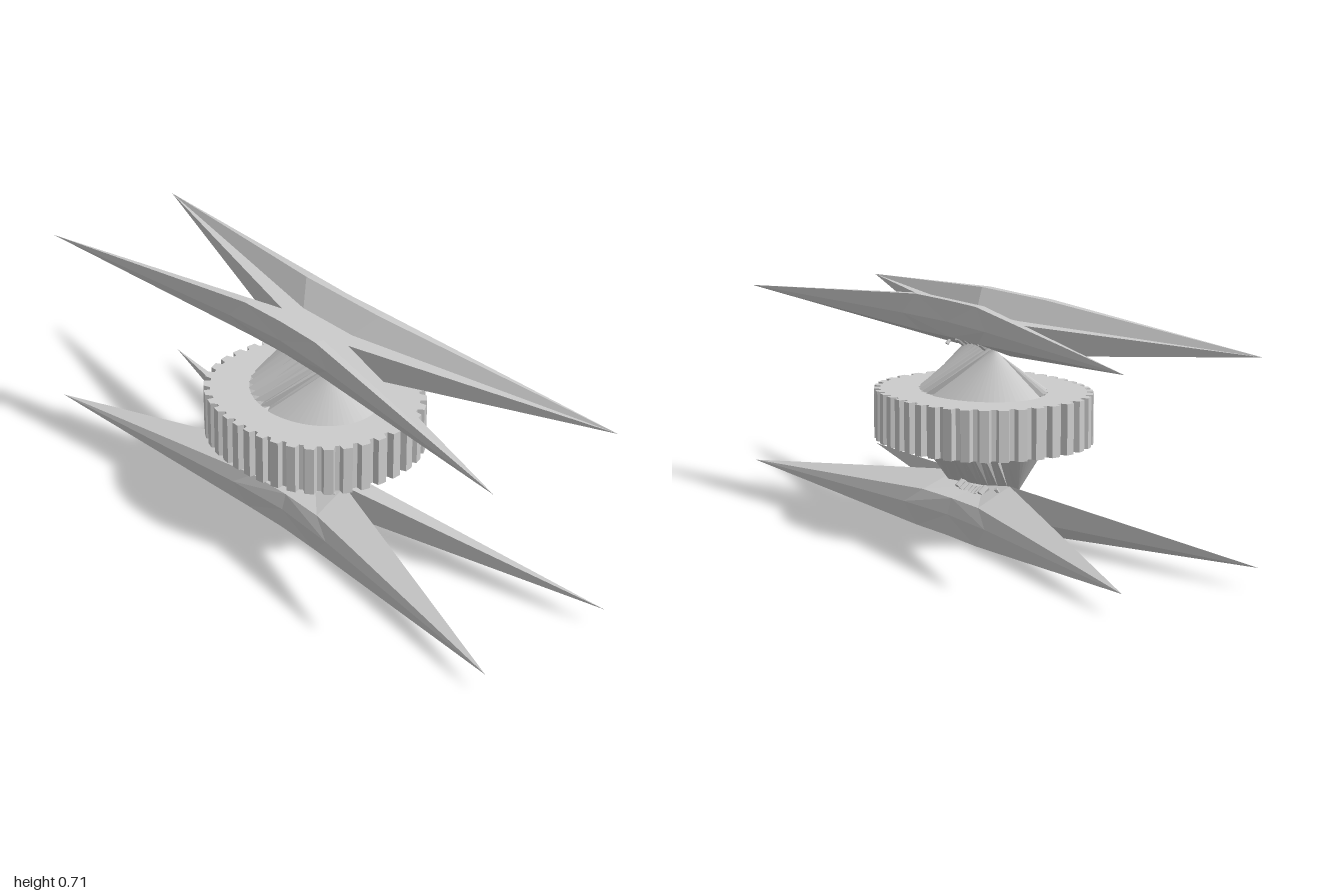
import * as THREE from 'three';

const MID = 0.356; // height of the middle of the model
const mat = new THREE.MeshStandardMaterial({ color: 0xcccccc, flatShading: true, side: THREE.DoubleSide });

function mesh(geo, name) {
  const m = new THREE.Mesh(geo, mat);
  m.name = name;
  return m;
}

function fromTriangles(pos) {
  const g = new THREE.BufferGeometry();
  g.setAttribute('position', new THREE.Float32BufferAttribute(pos, 3));
  g.computeVertexNormals();
  return g;
}

// Four long blades meeting in a cross: one quarter, mirrored in x and z
function bladeCross() {
  const P = {
    tip: [0.235, 0.648, 0.995], notch: [0, 0.648, 0.15], keel: [0, 0.552, 0.14],
    valley: [0.05, 0.648, 0.11], ridgeIn: [0.108, 0.712, 0.165], ridgeOut: [0.135, 0.712, 0.16],
    side: [0.145, 0.648, 0.22], low: [0.12, 0.6, 0.15],
    centre0: [0, 0.648, 0], valley0: [0.05, 0.648, 0], ridgeIn0: [0.108, 0.712, 0],
    ridgeOut0: [0.13, 0.712, 0], side0: [0.13, 0.648, 0], low0: [0.115, 0.6, 0], keel0: [0, 0.575, 0],
  };
  const faces = [
    'tip valley notch', 'tip ridgeIn valley', 'tip ridgeOut ridgeIn', 'tip side ridgeOut',
    'tip low side', 'tip keel low', 'tip notch keel',
    'notch valley valley0 centre0', 'valley ridgeIn ridgeIn0 valley0',
    'ridgeIn ridgeOut ridgeOut0 ridgeIn0', 'ridgeOut side side0 ridgeOut0',
    'side low low0 side0', 'low keel keel0 low0',
  ].map((f) => f.split(' '));
  const pos = [];
  for (const sx of [1, -1]) for (const sz of [1, -1]) {
    const inside = new THREE.Vector3(0.09 * sx, 0.62, 0.1 * sz);
    for (const f of faces) {
      const v = f.map((n) => new THREE.Vector3(P[n][0] * sx, P[n][1], P[n][2] * sz));
      for (let i = 1; i < v.length - 1; i++) {
        let tri = [v[0], v[i], v[i + 1]];
        const t = new THREE.Triangle(...tri);
        const out = t.getMidpoint(new THREE.Vector3()).sub(inside);
        if (t.getNormal(new THREE.Vector3()).dot(out) < 0) tri = [v[0], v[i + 1], v[i]];
        tri.forEach((p) => pos.push(p.x, p.y, p.z));
      }
    }
  }
  return fromTriangles(pos);
}

// Hub: two smooth fans to offset apexes, joined by two pleated flanks
function hubCone() {
  const A = new THREE.Vector3(-0.042, 0.575, 0.125);
  const B = new THREE.Vector3(0.042, 0.575, -0.125);
  const N = 72, PLEAT = 28; // 28 of 72 steps per half form a flank
  const base = [], top = [];
  for (let i = 0; i <= N; i++) {
    const half = i % (N / 2);
    const flipped = Math.floor(i / (N / 2)) % 2 === 1;
    const a = (i / N) * Math.PI * 2;
    const flank = half < PLEAT / 2;
    const r = flank && i % 2 ? 0.86 : 1;
    base.push(new THREE.Vector3(0.185 * r * Math.cos(a), 0.43, 0.222 * r * Math.sin(a)));
    const k = Math.min(1, half / (PLEAT / 2));
    top.push(flipped ? A.clone().lerp(B, k) : B.clone().lerp(A, k));
  }
  const pos = [];
  const add = (...vs) => vs.forEach((p) => pos.push(p.x, p.y, p.z));
  for (let i = 0; i < N; i++) {
    add(base[i], top[i], base[i + 1]);
    add(top[i], top[i + 1], base[i + 1]);
  }
  return fromTriangles(pos);
}

// Toothed ring with a slightly squared oval outline
function gearRing() {
  const TEETH = 38, E = 2.3;
  const outline = (a, s) => {
    const c = Math.cos(a), d = Math.sin(a);
    const r = s * Math.pow(Math.pow(Math.abs(c) / 0.303, E) + Math.pow(Math.abs(d) / 0.34, E), -1 / E);
    return new THREE.Vector2(r * c, r * d);
  };
  const pts = [];
  for (let i = 0; i < TEETH; i++) {
    for (const [f, s] of [[-0.3, 1], [0.2, 1], [0.35, 0.94], [0.6, 0.94]]) {
      pts.push(outline(((i + f) / TEETH) * Math.PI * 2, s));
    }
  }
  const shape = new THREE.Shape(pts);
  const hole = new THREE.Path();
  hole.absellipse(0, 0, 0.18, 0.216, 0, Math.PI * 2, true);
  shape.holes.push(hole);
  const g = new THREE.ExtrudeGeometry(shape, { depth: 0.152, bevelEnabled: false, curveSegments: 24 });
  g.rotateX(-Math.PI / 2);
  g.translate(0, 0.28, 0);
  return g;
}

// Small joint under the blades: a row of studs and a thin pin
function joint() {
  const g = new THREE.Group();
  g.name = 'joint';
  for (let i = 0; i < 7; i++) {
    const stud = mesh(new THREE.CylinderGeometry(0.011, 0.011, 0.03, 8), 'jointStud');
    const k = (i - 3) / 3;
    stud.position.set(0.04, 0.588 - 0.012 * k * k, 0.06 * k);
    stud.rotation.z = -0.9;
    g.add(stud);
  }
  const pin = mesh(new THREE.ConeGeometry(0.006, 0.09, 6), 'jointPin');
  pin.position.set(0.015, 0.59, 0.13);
  pin.rotation.z = 0.7;
  g.add(pin);
  return g;
}

export function createModel() {
  const model = new THREE.Group();
  model.name = 'bladedStation';
  model.add(mesh(gearRing(), 'gearRing'));

  // Upper half, and the same half turned over for the lower one
  const blades = bladeCross(), cone = hubCone();
  for (const name of ['upper', 'lower']) {
    const half = new THREE.Group();
    half.name = name + 'Half';
    half.add(mesh(blades, name + 'Blades'), mesh(cone, name + 'Hub'));
    const j = joint(), back = joint();
    back.rotation.y = Math.PI;
    half.add(j, back);
    if (name === 'lower') {
      half.rotation.z = Math.PI;
      half.position.y = 2 * MID;
    }
    model.add(half);
  }
  return model;
}
